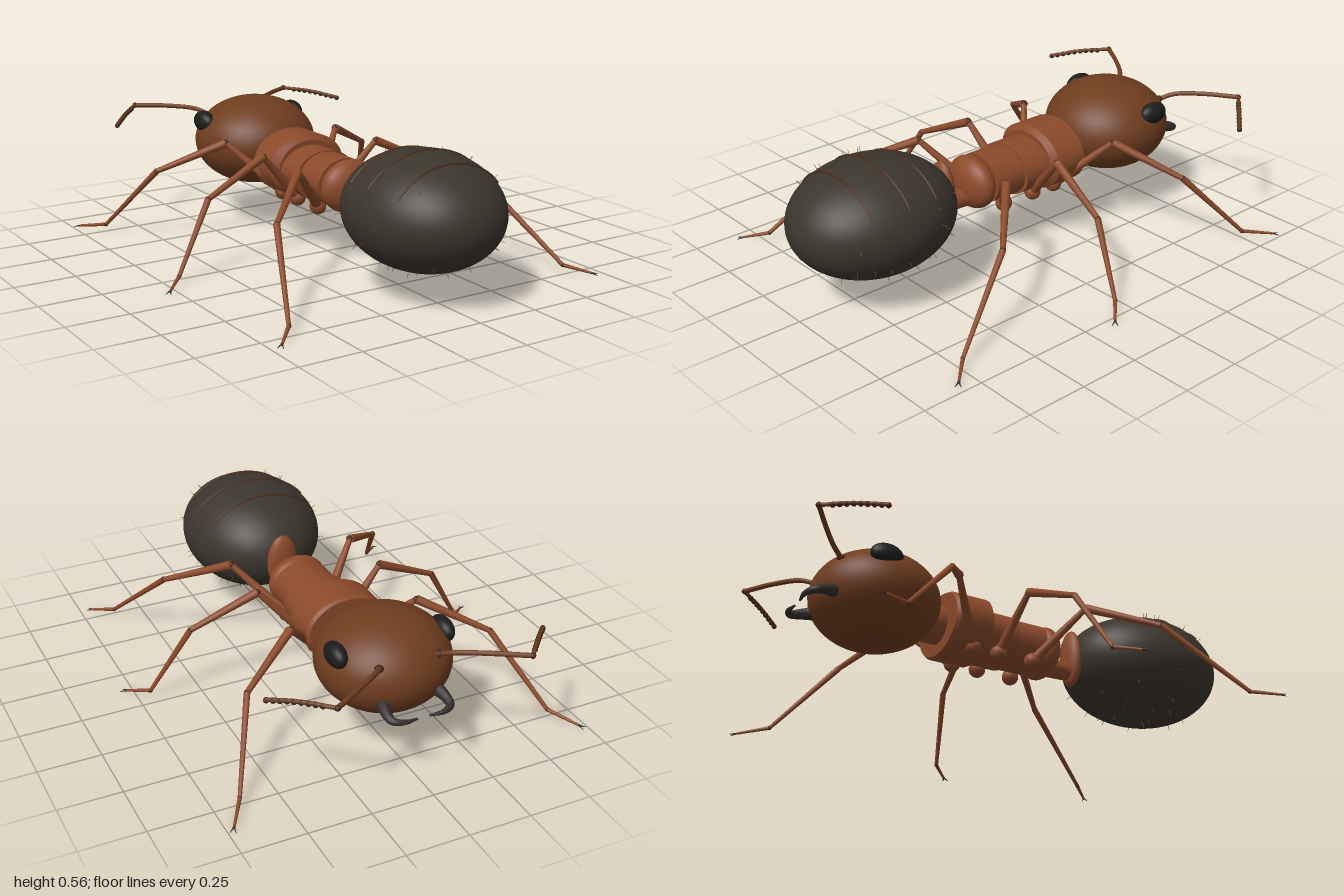
import * as THREE from 'three';

const V = (x, y, z) => new THREE.Vector3(x, y, z);
const mat = (name, color) => {
  const m = new THREE.MeshStandardMaterial({ color });
  m.name = name;
  return m;
};

export function createModel() {
  const ant = new THREE.Group();
  ant.name = 'ant';
  const rust = mat('rust brown', 0x8b4a2b);
  const headBrown = mat('head brown', 0x6f3d1f);
  const darkBrown = mat('dark brown', 0x4a2a18);
  const gasterGrey = mat('gaster charcoal', 0x3b352d);
  const black = mat('eye black', 0x1c1c1c);
  const jaw = mat('jaw grey', 0x33302d);

  const add = (parent, name, geo, material) => {
    const m = new THREE.Mesh(geo, material);
    m.name = name;
    parent.add(m);
    return m;
  };
  const ellipsoid = (parent, name, c, r, material, seg = 32) => {
    const m = add(parent, name, new THREE.SphereGeometry(1, seg, Math.ceil(seg * 0.7)), material);
    m.position.copy(c);
    m.scale.copy(r);
    return m;
  };
  // Tapered rod from a to b
  const rod = (parent, name, a, b, ra, rb, material, seg = 10) => {
    const d = b.clone().sub(a);
    const m = add(parent, name, new THREE.CylinderGeometry(rb, ra, d.length(), seg), material);
    m.position.copy(a).addScaledVector(d, 0.5);
    m.quaternion.setFromUnitVectors(V(0, 1, 0), d.normalize());
    return m;
  };
  // Oval body ring lying along z
  const ring = (name, y, z0, z1, rx0, rx1, squash, material = rust) => {
    const geo = new THREE.CylinderGeometry(rx1, rx0, z1 - z0, 32);
    geo.rotateX(Math.PI / 2);
    const m = add(ant, name, geo, material);
    m.scale.y = squash;
    m.position.set(0, y, (z0 + z1) / 2);
  };

  // Head and eyes
  ellipsoid(ant, 'head', V(0, 0.365, -0.59), V(0.26, 0.19, 0.26), headBrown, 40);
  for (const s of [1, -1])
    ellipsoid(ant, s > 0 ? 'leftEye' : 'rightEye', V(s * 0.22, 0.455, -0.642), V(0.037, 0.046, 0.068), black, 24);

  // Thorax rings from neck to waist
  ring('neck', 0.33, -0.4, -0.28, 0.085, 0.085, 0.9);
  ring('pronotumFront', 0.333, -0.31, -0.295, 0.165, 0.175, 0.76);
  ring('pronotum', 0.333, -0.295, -0.155, 0.175, 0.175, 0.76);
  ring('pronotumBack', 0.333, -0.155, -0.135, 0.175, 0.145, 0.76);
  ring('mesothorax', 0.318, -0.15, -0.015, 0.14, 0.14, 0.75);
  ring('metathorax', 0.318, -0.02, 0.125, 0.122, 0.122, 0.83);
  ellipsoid(ant, 'propodeum', V(0, 0.315, 0.16), V(0.125, 0.108, 0.066), rust);

  // Narrow waist and its upright scale
  ring('petiole', 0.262, 0.19, 0.32, 0.042, 0.038, 0.95);
  ellipsoid(ant, 'petioleNode', V(0, 0.325, 0.31), V(0.067, 0.125, 0.036), rust, 24);

  // Gaster with raised seams over the back
  const gc = V(0, 0.335, 0.65), gr = V(0.288, 0.225, 0.343);
  ellipsoid(ant, 'gaster', gc, gr, gasterGrey, 48);
  for (const z of [0.52, 0.658, 0.802]) {
    const k = Math.sqrt(1 - ((z - gc.z) / gr.z) ** 2);
    const pts = [];
    for (let i = 0; i <= 16; i++) {
      const t = (0.17 + 0.66 * i / 16) * Math.PI;
      pts.push(V(Math.cos(t) * gr.x * k, gc.y + Math.sin(t) * gr.y * k, z));
    }
    add(ant, 'gasterSeam', new THREE.TubeGeometry(new THREE.CatmullRomCurve3(pts), 32, 0.005, 6), darkBrown);
  }

  // Sparse bristles on the gaster
  let seed = 7;
  const rnd = () => (seed = (seed * 16807) % 2147483647) / 2147483647;
  for (let i = 0; i < 60; i++) {
    const a = rnd() * Math.PI * 2, c = rnd() * 1.5 - 0.75, q = Math.sqrt(1 - c * c);
    const n = V(Math.cos(a) * q, Math.sin(a) * q, c);
    const p = n.clone().multiply(gr).add(gc);
    const out = n.divide(gr).normalize();
    rod(ant, 'bristle', p, p.clone().addScaledVector(out, 0.022), 0.0015, 0.0006, rust, 4);
  }

  // Joints of each left leg: hip, trochanter, knee, ankle, toe
  const legs = {
    front: [V(0.09, 0.225, -0.2), V(0.27, 0.42, -0.36), V(0.515, 0.3, -0.515), V(0.65, 0.033, -0.75), V(0.72, 0.01, -0.865)],
    middle: [V(0.09, 0.225, -0.085), V(0.27, 0.425, -0.05), V(0.54, 0.3, -0.01), V(0.7, 0.033, 0.045), V(0.775, 0.01, 0.12)],
    rear: [V(0.09, 0.225, 0.07), V(0.27, 0.42, 0.215), V(0.49, 0.3, 0.425), V(0.625, 0.033, 0.73), V(0.7, 0.01, 0.81)],
  };
  const flip = (p, s) => V(p.x * s, p.y, p.z);

  for (const s of [1, -1]) {
    const side = s > 0 ? 'left' : 'right';
    for (const [key, joints] of Object.entries(legs)) {
      const leg = new THREE.Group();
      leg.name = `${side}${key[0].toUpperCase()}${key.slice(1)}Leg`;
      ant.add(leg);
      const [hip, top, knee, ankle, toe] = joints.map((p) => flip(p, s));
      ellipsoid(leg, 'coxa', hip, V(0.034, 0.034, 0.034), rust, 16);
      rod(leg, 'trochanter', hip, top, 0.022, 0.012, rust);
      rod(leg, 'femur', top, knee, 0.018, 0.011, rust);
      rod(leg, 'tibia', knee, ankle, 0.013, 0.008, rust);
      rod(leg, 'tarsus', ankle, toe, 0.008, 0.005, rust);
      for (const [p, r] of [[top, 0.014], [knee, 0.012], [ankle, 0.009]])
        ellipsoid(leg, 'joint', p, V(r, r, r), darkBrown, 10);
      // Split claw
      const dir = toe.clone().sub(ankle).setY(0).normalize();
      const across = V(dir.z, 0, -dir.x);
      for (const k of [-1, 1]) {
        const tip = toe.clone().addScaledVector(dir, 0.026).addScaledVector(across, k * 0.011).setY(0.004);
        rod(leg, 'claw', toe, tip, 0.004, 0.001, jaw, 6);
      }
    }

    // Elbowed antenna with a beaded outer half
    const antenna = new THREE.Group();
    antenna.name = `${side}Antenna`;
    ant.add(antenna);
    const scape = new THREE.CatmullRomCurve3(
      [V(0.11, 0.44, -0.77), V(0.16, 0.47, -0.835), V(0.26, 0.482, -0.91), V(0.385, 0.484, -0.99)].map((p) => flip(p, s)));
    add(antenna, 'scape', new THREE.TubeGeometry(scape, 20, 0.01, 8), headBrown);
    ellipsoid(antenna, 'antennaSocket', flip(V(0.12, 0.45, -0.785), s), V(0.018, 0.014, 0.018), darkBrown, 12);
    const elbow = flip(V(0.385, 0.484, -0.99), s);
    ellipsoid(antenna, 'elbow', elbow, V(0.012, 0.012, 0.012), darkBrown, 10);
    const whip = new THREE.CatmullRomCurve3(
      [elbow, flip(V(0.475, 0.475, -0.89), s), flip(V(0.56, 0.452, -0.795), s)]);
    add(antenna, 'flagellum', new THREE.TubeGeometry(whip, 16, 0.008, 8), headBrown);
    for (let i = 0; i < 9; i++) {
      const p = whip.getPointAt(0.2 + i * 0.1);
      p.y -= 0.003;
      ellipsoid(antenna, 'flagellumBead', p, V(0.011, 0.011, 0.011), darkBrown, 10);
    }

    // Curved mandible, tapering to its inner tip
    const jawCurve = new THREE.CatmullRomCurve3(
      [V(0.1, 0.315, -0.77), V(0.12, 0.305, -0.835), V(0.118, 0.29, -0.888), V(0.08, 0.285, -0.908), V(0.03, 0.283, -0.905)].map((p) => flip(p, s)));
    const N = 24, R = 10;
    const geo = new THREE.TubeGeometry(jawCurve, N, 1, R);
    const pos = geo.attributes.position;
    for (let i = 0; i <= N; i++) {
      const c = jawCurve.getPointAt(i / N), r = 0.03 * (1 - 0.85 * (i / N));
      for (let j = 0; j <= R; j++) {
        const k = i * (R + 1) + j;
        const p = V().fromBufferAttribute(pos, k).sub(c).multiplyScalar(r).add(c);
        pos.setXYZ(k, p.x, p.y, p.z);
      }
    }
    geo.computeVertexNormals();
    add(ant, `${side}Mandible`, geo, jaw);
    ellipsoid(ant, 'mandibleTip', flip(V(0.03, 0.283, -0.905), s), V(0.008, 0.005, 0.005), jaw, 8);
  }
  return ant;
}
